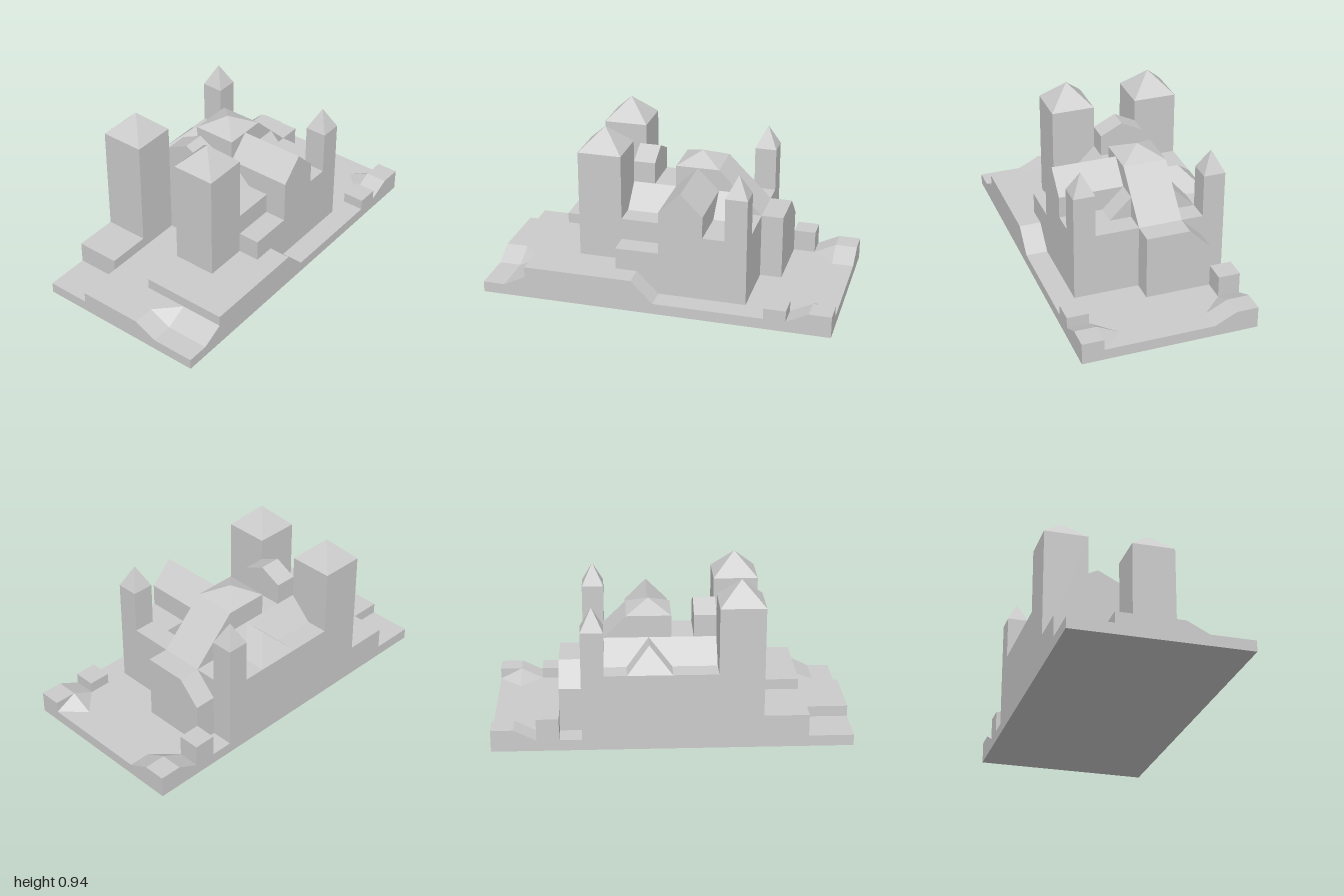
import * as THREE from 'three';
import { ConvexGeometry } from 'three/addons/geometries/ConvexGeometry.js';

export function createModel() {
  const model = new THREE.Group();
  const material = new THREE.MeshStandardMaterial({ color: 0xcccccc, flatShading: true });
  const add = (name, geometry) => {
    const mesh = new THREE.Mesh(geometry, material);
    mesh.name = name;
    model.add(mesh);
    return mesh;
  };

  // Block given by its limits on each axis
  const box = (name, x0, x1, y0, y1, z0, z1) => {
    const mesh = add(name, new THREE.BoxGeometry(x1 - x0, y1 - y0, z1 - z0));
    mesh.position.set((x0 + x1) / 2, (y0 + y1) / 2, (z0 + z1) / 2);
  };
  // Convex solid from its corners
  const hull = (name, points) =>
    add(name, new ConvexGeometry(points.map(p => new THREE.Vector3(...p))));
  // Profile of (z, y) pairs swept along x, and of (x, y) pairs swept along z
  const sweepX = (name, x0, x1, profile) =>
    hull(name, [x0, x1].flatMap(x => profile.map(([z, y]) => [x, y, z])));
  const sweepZ = (name, z0, z1, profile) =>
    hull(name, [z0, z1].flatMap(z => profile.map(([x, y]) => [x, y, z])));
  // Pyramid roof over a square
  const pyramid = (name, x0, z0, size, y, height) => hull(name, [
    [x0, y, z0], [x0 + size, y, z0], [x0, y, z0 + size], [x0 + size, y, z0 + size],
    [x0 + size / 2, y + height, z0 + size / 2],
  ]);
  const tower = (name, x0, z0, size, y0, eave, height) => {
    box(name, x0, x0 + size, y0, eave, z0, z0 + size);
    pyramid(name + 'Roof', x0, z0, size, eave, height);
  };

  const G = 0.0625, P = 0.125, T = 0.1875; // ground, path and terrace levels

  // Ground and front path, with a sunken corner
  box('ground', -0.5, 0.5, 0, G, -1, 1);
  box('path', -0.25, 0.125, G, P, 0.25, 1);
  box('pathSide', 0.125, 0.5, G, P, 0.25, 0.75);
  sweepZ('pathSlope', 0.875, 1, [[0.125, G], [0.125, P], [0.25, G]]);
  sweepX('pathBank', 0.25, 0.5, [[0.75, G], [0.75, P], [0.875, G]]);
  hull('pathCorner', [
    [0.125, G, 0.75], [0.25, G, 0.75], [0.125, G, 0.875], [0.25, G, 0.875],
    [0.125, P, 0.75], [0.25, P, 0.75], [0.125, P, 0.875],
  ]);

  // Terraces under the front towers
  box('leftTerrace', -0.5, -0.25, G, T, 0.25, 0.75);
  sweepX('rightTerrace', 0, 0.5, [[0.75, G], [0.75, T], [0.125, T], [0, G]]);

  // Rocks at the back corners
  hull('backRightRock', [
    [-0.5, G, -1], [-0.25, G, -1], [-0.25, G, -0.875], [-0.375, G, -0.75], [-0.5, G, -0.75],
    [-0.5, P, -1], [-0.375, P, -1], [-0.375, P, -0.875], [-0.5, P, -0.875],
  ]);
  box('backLeftRock', 0.375, 0.5, G, P, -1, -0.875);
  sweepX('backLeftRockSlope', 0.375, 0.5, [[-0.875, G], [-0.875, P], [-0.75, G]]);
  hull('backLeftRockSpur', [
    [0.25, G, -0.875], [0.375, G, -1], [0.375, G, -0.75], [0.375, P, -0.875],
  ]);
  box('backRightBlock', -0.5, -0.375, G, T, -0.75, -0.625);
  box('backLeftBlock', 0.375, 0.5, G, P, -0.75, -0.625);

  // Castle body and stepped side
  box('castleBody', -0.5, 0.375, G, 0.4375, -0.5, 0);
  box('frontBody', -0.5, 0.25, G, 0.4375, 0, 0.25);
  box('sideStep', 0.25, 0.375, G, 0.3125, 0, 0.25);

  // Back annex with a sloped shoulder
  box('backAnnex', -0.25, 0, G, 0.4375, -0.625, -0.5);
  sweepZ('annexShoulder', -0.625, -0.5,
    [[-0.375, G], [-0.375, 0.3125], [-0.25, 0.4375], [-0.25, G]]);

  // Central hall, gatehouse and keep
  box('hall', -0.25, 0, 0.4375, 0.5625, -0.25, 0.25);
  sweepZ('gatehouse', 0.125, 0.25,
    [[-0.25, 0.5625], [-0.25, 0.6875], [-0.125, 0.75], [0, 0.6875], [0, 0.5625]]);
  box('keep', -0.25, 0, 0.5625, 0.6875, -0.25, 0);
  pyramid('keepRoof', -0.25, -0.25, 0.25, 0.6875, 0.0625);
  sweepX('keepBackRoof', -0.25, 0, [[-0.25, 0.4375], [-0.25, 0.6875], [-0.5, 0.4375]]);

  // Lean-to roofs on both sides of the hall
  sweepZ('rightLeanTo', -0.375, 0.25, [[-0.375, 0.4375], [-0.25, 0.5625], [-0.25, 0.4375]]);
  sweepZ('leftLeanTo', -0.375, 0.25, [[0.125, 0.4375], [0, 0.5625], [0, 0.4375]]);

  // Side wings: one gabled, one hipped
  sweepX('gabledWing', 0, 0.375,
    [[0, 0.4375], [0, 0.5625], [-0.125, 0.6875], [-0.25, 0.5625], [-0.25, 0.4375]]);
  hull('hippedWingRoof', [
    [-0.5, 0.4375, 0], [-0.5, 0.4375, -0.25], [-0.25, 0.4375, 0], [-0.25, 0.4375, -0.25],
    [-0.375, 0.5625, -0.125], [-0.25, 0.5625, -0.125],
  ]);

  // Two large front towers and two slim back towers
  for (const x of [-0.5, 0]) tower('frontTower', x, 0.25, 0.25, G, 0.8125, 0.125);
  for (const x of [-0.5, 0.25]) tower('backTower', x, -0.5, 0.125, G, 0.6875, 0.125);

  return model;
}
